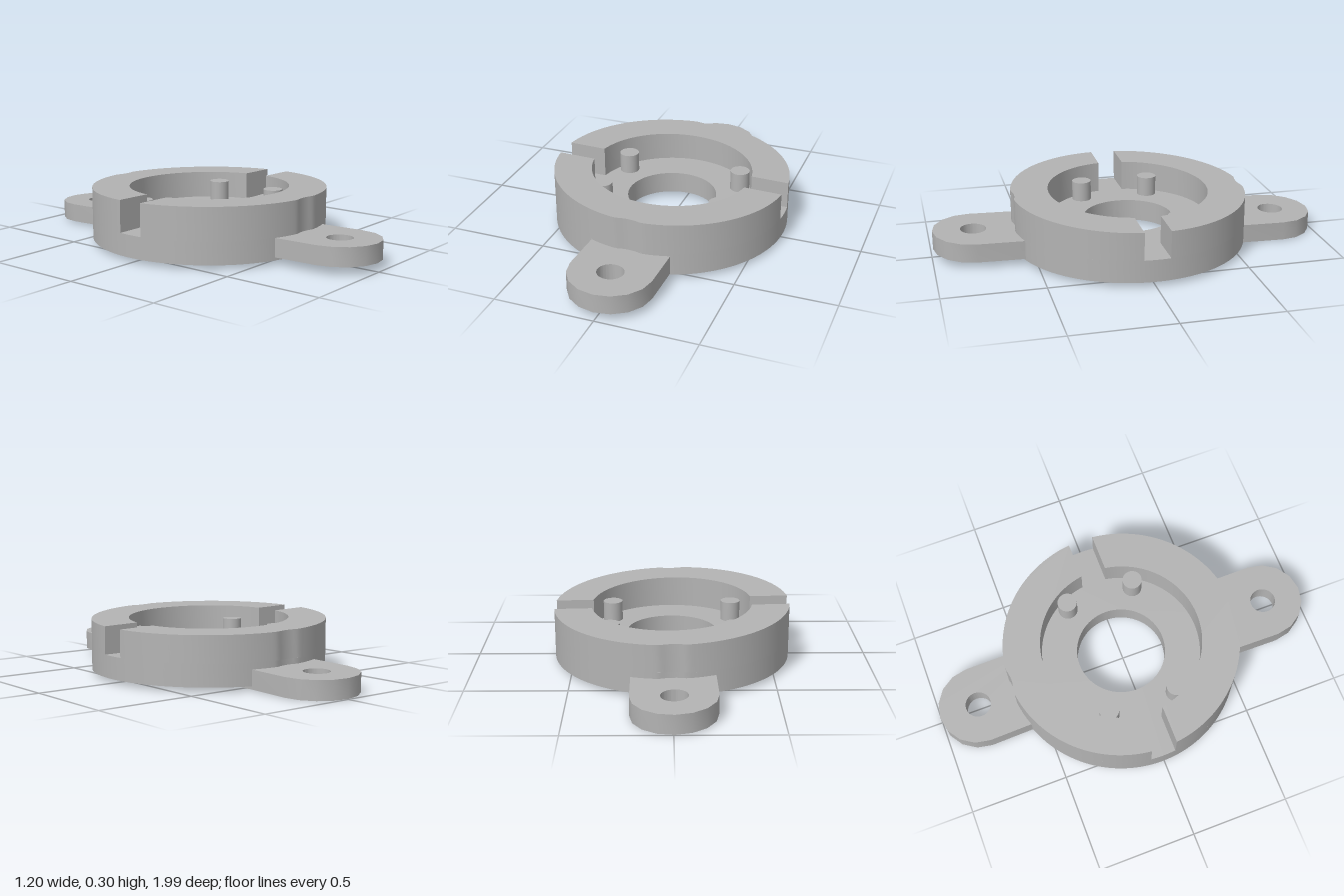
import * as THREE from 'three';
import { toCreasedNormals } from 'three/addons/utils/BufferGeometryUtils.js';

const BASE = 0.03, FLOOR = 0.142, OUTER = 0.6, INNER = 0.41, BORE = 0.228;
const SLOT = 0.065, EAR = 0.79, EAR_R = 0.204;

// Slightly skewed plane shared by the rim top and the ears
const tilt = (x, z) => -0.021 * x + 0.02 * z;
const flat = (h) => () => h;
const skew = (h) => (x, z) => h + tilt(x, z);

// Vertical slab from a plan outline, between two height functions
function slab(shape, bottom, top, offsetZ = -0.01) {
  let geo = new THREE.ExtrudeGeometry(shape, { depth: 1, bevelEnabled: false, curveSegments: 48 });
  geo.rotateX(-Math.PI / 2);
  geo.translate(0, 0, offsetZ);
  const p = geo.attributes.position;
  for (let i = 0; i < p.count; i++) {
    const x = p.getX(i), z = p.getZ(i);
    p.setY(i, p.getY(i) > 0.5 ? top(x, z) : bottom(x, z));
  }
  return toCreasedNormals(geo, 0.45);
}

// Arc of points; the outer wall is scalloped next to each screw hole
function arc(r, a0, a1, n, scalloped) {
  const pts = [];
  for (let i = 0; i <= n; i++) {
    const a = a0 + (a1 - a0) * i / n;
    const x = r * Math.cos(a);
    let y = r * Math.sin(a);
    if (scalloped && Math.abs(x) < EAR_R) {
      const limit = EAR - Math.sqrt(EAR_R ** 2 - x * x);
      y = Math.sign(y) * Math.min(Math.abs(y), limit);
    }
    pts.push(new THREE.Vector2(x, y));
  }
  return pts;
}

function hole(shape, x, y, r) {
  const path = new THREE.Path();
  path.absarc(x, y, r, 0, Math.PI * 2, true);
  shape.holes.push(path);
}

export function createModel() {
  const model = new THREE.Group();
  const grey = new THREE.MeshStandardMaterial({ color: 0xb3b3b3 });
  grey.name = 'grey plastic';
  const add = (name, geo) => {
    const mesh = new THREE.Mesh(geo, grey);
    mesh.name = name;
    model.add(mesh);
    return mesh;
  };

  // Base disc with the central bore
  const disc = new THREE.Shape(arc(OUTER, 0, Math.PI * 2, 180, true).slice(0, -1));
  hole(disc, 0, 0, BORE);
  add('baseDisc', slab(disc, flat(BASE), flat(FLOOR)));

  // Two rim halves separated by the side slots
  const a = Math.asin(SLOT / OUTER), b = Math.asin(SLOT / INNER);
  for (const [name, turn] of [['backRim', 0], ['frontRim', Math.PI]]) {
    const outline = [
      ...arc(OUTER, turn + a, turn + Math.PI - a, 90, true),
      ...arc(INNER, turn + Math.PI - b, turn + b, 60, false),
    ];
    add(name, slab(new THREE.Shape(outline), flat(FLOOR), skew(0.2925)));
  }

  // Pegs standing on the recessed floor
  for (const x of [-0.31, 0.31]) {
    for (const z of [-0.19, 0.17]) {
      const h = 0.243 - FLOOR;
      add('peg', new THREE.CylinderGeometry(0.05, 0.05, h, 32)).position.set(x, FLOOR + h / 2, z);
    }
  }

  // Mounting ears with screw holes; they run inward under the rim
  for (const [name, s, z0] of [['backEar', 1, -0.005], ['frontEar', -1, -0.002]]) {
    const outline = [new THREE.Vector2(-0.2 * s, 0.36 * s), new THREE.Vector2(0.2 * s, 0.36 * s)];
    for (let i = 0; i <= 8; i++) {
      const t = Math.PI * i / 8;
      outline.push(new THREE.Vector2(
        s * EAR_R * Math.cos(t) - 0.004, s * (EAR + EAR_R * Math.sin(t))));
    }
    const ear = new THREE.Shape(outline);
    hole(ear, -0.005, s * EAR, 0.065);
    add(name, slab(ear, skew(0.03), skew(0.125), z0));
  }
  return model;
}
